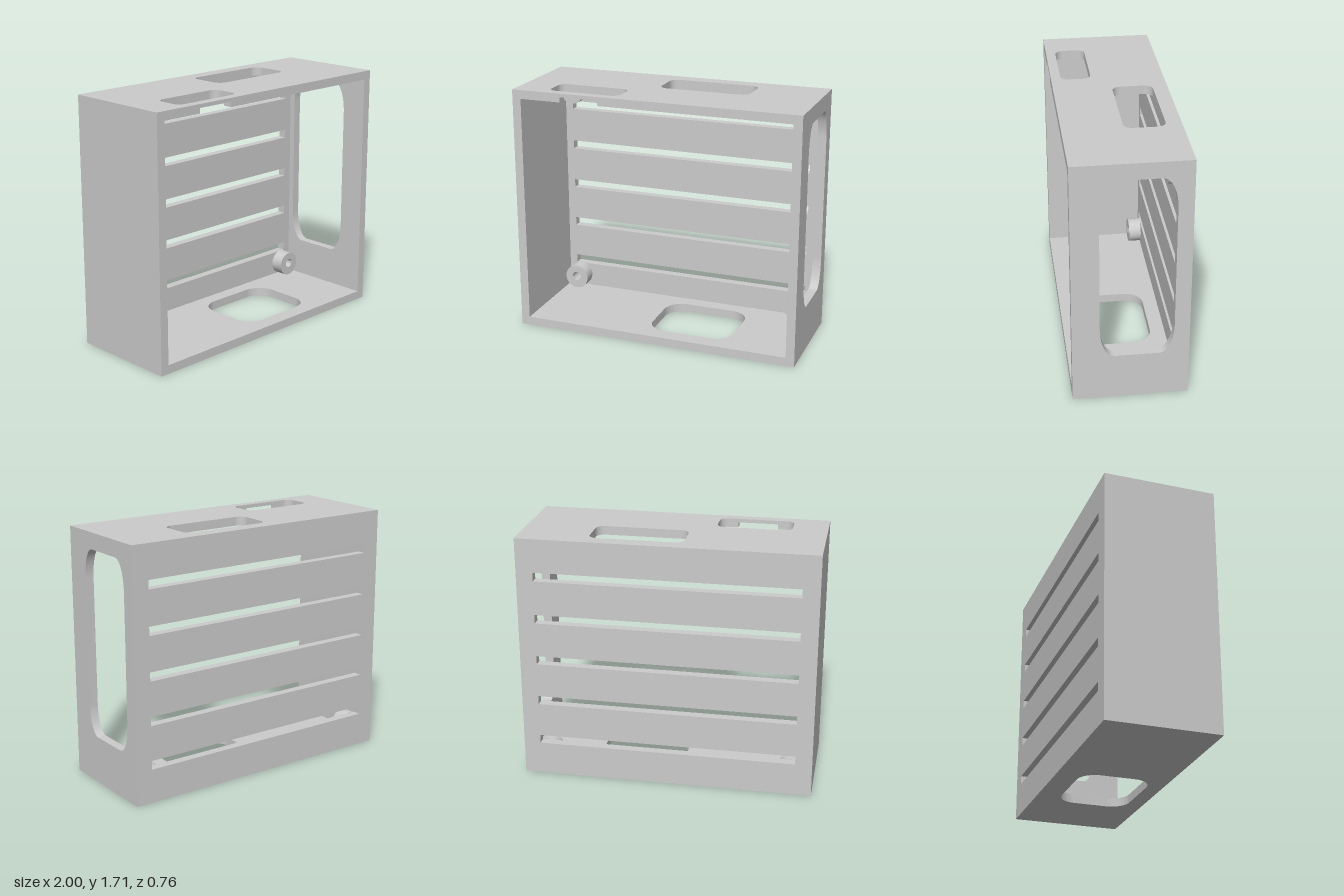
import * as THREE from 'three';
import { toCreasedNormals } from 'three/addons/utils/BufferGeometryUtils.js';

const W = 1, H = 1.71, D = 0.38, T = 0.06; // half width, height, half depth, wall
const BACK = -D + T;
const NOTCH = 0.035; // depth of the cable notch in the top lip

// Rectangle outline, with elliptical corners when radii are given
function rect(target, x0, y0, x1, y1, rx = 0, ry = rx) {
  target.moveTo(x0 + rx, y0).lineTo(x1 - rx, y0);
  if (rx) target.absellipse(x1 - rx, y0 + ry, rx, ry, -Math.PI / 2, 0);
  target.lineTo(x1, y1 - ry);
  if (rx) target.absellipse(x1 - rx, y1 - ry, rx, ry, 0, Math.PI / 2);
  target.lineTo(x0 + rx, y1);
  if (rx) target.absellipse(x0 + rx, y1 - ry, rx, ry, Math.PI / 2, Math.PI);
  target.lineTo(x0, y0 + ry);
  if (rx) target.absellipse(x0 + rx, y0 + ry, rx, ry, Math.PI, Math.PI * 1.5);
  return target;
}

function panel(outline, holes) {
  const shape = rect(new THREE.Shape(), ...outline);
  holes.forEach((h) => shape.holes.push(rect(new THREE.Path(), ...h)));
  return shape;
}

export function createModel() {
  const group = new THREE.Group();
  const material = new THREE.MeshStandardMaterial({ color: 0xcccccc });

  // orient: 'z' keeps the shape upright, 'y' lays it flat (x,z) and 'x' turns it sideways (z,y);
  // flat and sideways panels grow down / towards -x from the given position
  function add(name, shape, depth, orient, position) {
    let g = new THREE.ExtrudeGeometry(shape, { depth, bevelEnabled: false, curveSegments: 12 });
    if (orient === 'y') g.rotateX(Math.PI / 2);
    if (orient === 'x') g.rotateY(-Math.PI / 2);
    g = toCreasedNormals(g, 0.5);
    const mesh = new THREE.Mesh(g, material);
    mesh.name = name;
    mesh.position.set(...position);
    group.add(mesh);
  }

  // Back panel with five ventilation slots
  const slots = [];
  for (let i = 0; i < 5; i++) {
    const y = 0.23 + i * 0.2975;
    slots.push([-0.885, y, 0.885, y + 0.06]);
  }
  add('backPanel', panel([-W, 0, W, H], slots), T, 'z', [0, 0, -D]);

  // Side walls: the +x one has a large rounded window
  const side = [BACK, T, D, H - T];
  add('windowWall', panel(side, [[-0.28, 0.325, 0.2, 1.6, 0.095, 0.21]]), T, 'x', [W, 0, 0]);
  add('plainWall', panel(side, []), T, 'x', [-W + T, 0, 0]);

  // Floor with a rounded opening
  const flat = [-W, BACK, W, D];
  add('floor', panel(flat, [[-0.09, -0.22, 0.51, 0.27, 0.13]]), T, 'y', [0, T, 0]);

  // Top: solid upper layer over a lower layer notched at the front lip
  const opening = [-0.1, -0.28, 0.53, -0.01, 0.06];
  const [x0, z0, x1, z1, r] = [-0.765, 0.11, -0.26, 0.315, 0.055];
  add('topPanel', panel(flat, [opening, [x0, z0, x1, z1, r]]), T - NOTCH, 'y', [0, H, 0]);

  const lower = new THREE.Shape();
  lower.moveTo(-W, BACK).lineTo(W, BACK).lineTo(W, D).lineTo(-0.38, D).lineTo(-0.38, z1).lineTo(x1 - r, z1);
  lower.absarc(x1 - r, z1 - r, r, Math.PI / 2, 0, true);
  lower.absarc(x1 - r, z0 + r, r, 0, -Math.PI / 2, true);
  lower.absarc(x0 + r, z0 + r, r, -Math.PI / 2, -Math.PI, true);
  lower.absarc(x0 + r, z1 - r, r, Math.PI, Math.PI / 2, true);
  lower.lineTo(-0.65, z1).lineTo(-0.65, D).lineTo(-W, D);
  lower.holes.push(rect(new THREE.Path(), ...opening));
  add('topNotchedLayer', lower, NOTCH, 'y', [0, H - T + NOTCH, 0]);

  // Screw standoffs in the four back corners: x, y, bore offset
  for (const [x, y, dy] of [[-0.85, 1.57, -0.008], [0.835, 1.57, -0.006], [-0.85, 0.147, 0.005], [0.845, 0.147, 0.005]]) {
    const ring = new THREE.Shape().absarc(0, 0, 0.087, 0, Math.PI * 2);
    ring.holes.push(new THREE.Path().absarc(0, dy, 0.032, 0, Math.PI * 2));
    add('standoff', ring, 0.09, 'z', [x, y, BACK]);
  }

  return group;
}
